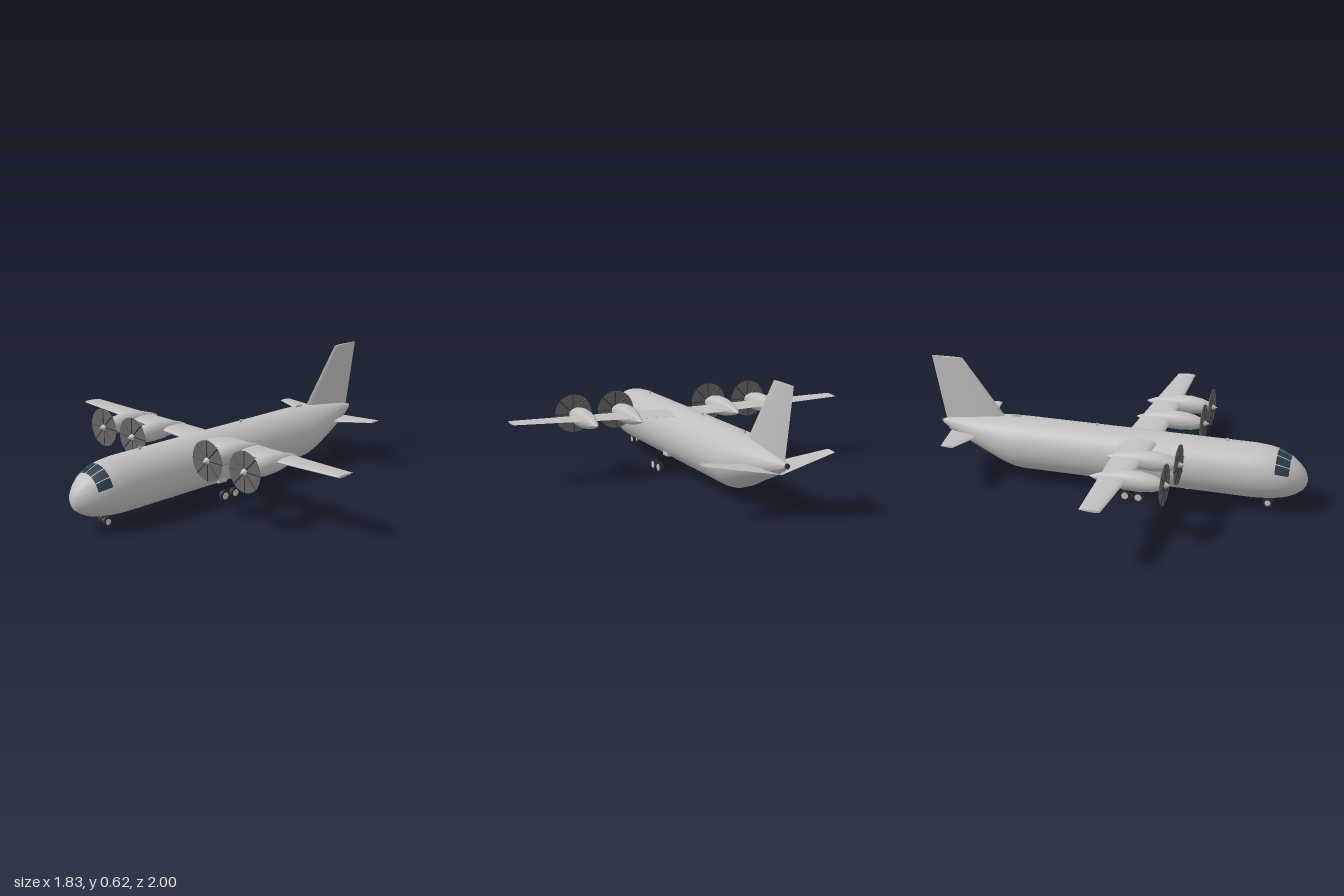
import * as THREE from 'three';
import { toCreasedNormals } from 'three/addons/utils/BufferGeometryUtils.js';

const mat = (name, color) => Object.assign(new THREE.MeshStandardMaterial({ color }), { name });

// Skin a list of equal-length rings, with closed ends, facing outwards
function loft(rings, crease = 0.7) {
  const n = rings[0].length, pos = [], idx = [];
  rings.forEach(r => r.forEach(p => pos.push(...p)));
  const at = (i, j) => i * n + (j % n);
  for (let i = 0; i < rings.length - 1; i++)
    for (let j = 0; j < n; j++)
      idx.push(at(i, j), at(i, j + 1), at(i + 1, j + 1), at(i, j), at(i + 1, j + 1), at(i + 1, j));
  [0, rings.length - 1].forEach((i, end) => {
    const c = [0, 1, 2].map(k => rings[i].reduce((s, p) => s + p[k], 0) / n);
    const ci = pos.push(...c) / 3 - 1;
    for (let j = 0; j < n; j++)
      end ? idx.push(ci, at(i, j), at(i, j + 1)) : idx.push(ci, at(i, j + 1), at(i, j));
  });
  let volume = 0;
  const v = k => new THREE.Vector3().fromArray(pos, idx[k] * 3);
  for (let k = 0; k < idx.length; k += 3) volume += v(k).dot(v(k + 1).cross(v(k + 2)));
  if (volume < 0) idx.reverse();
  const g = new THREE.BufferGeometry();
  g.setAttribute('position', new THREE.Float32BufferAttribute(pos, 3));
  g.setIndex(idx);
  return toCreasedNormals(g, crease);
}

// Station = [z, top, bottom, halfWidth]
const onHull = ([z, top, bottom, hw], a, out = 0) =>
  [(hw + out) * Math.cos(a), (top + bottom) / 2 + ((top - bottom) / 2 + out) * Math.sin(a), z];
const hullRing = (s, n) => Array.from({ length: n }, (_, j) => onHull(s, j / n * Math.PI * 2));

// Airfoil ring running back along -z from the leading edge
function foil(x, y, zLead, zTrail, thick, upright = false) {
  const xs = [0, 0.03, 0.12, 0.3, 0.55, 0.8, 1];
  const half = t => 5 * thick * (0.2969 * Math.sqrt(t) - 0.126 * t - 0.3516 * t * t + 0.2843 * t ** 3 - 0.1015 * t ** 4);
  const pts = [...xs.map(t => [t, half(t)]), ...xs.slice(1).reverse().map(t => [t, -half(t)])];
  return pts.map(([t, h]) => {
    const z = zLead + (zTrail - zLead) * t;
    return upright ? [x + h, y, z] : [x, y + h, z];
  });
}

const HULL = [
  [1, 0.167, 0.161, 0.003], [0.993, 0.196, 0.137, 0.026], [0.98, 0.222, 0.115, 0.045],
  [0.95, 0.253, 0.093, 0.073], [0.915, 0.281, 0.076, 0.096], [0.88, 0.299, 0.066, 0.111],
  [0.848, 0.311, 0.06, 0.12], [0.8, 0.32, 0.054, 0.129], [0.73, 0.326, 0.05, 0.135],
  [0.1, 0.327, 0.05, 0.136], [-0.48, 0.327, 0.05, 0.136], [-0.53, 0.326, 0.056, 0.134],
  [-0.6, 0.323, 0.08, 0.125], [-0.7, 0.313, 0.126, 0.103], [-0.8, 0.299, 0.168, 0.072],
  [-0.9, 0.281, 0.212, 0.033], [-0.955, 0.267, 0.247, 0.011],
];
const NACELLE = [
  [0.405, 0.308, 0.273, 0.02], [0.39, 0.318, 0.262, 0.03], [0.35, 0.333, 0.25, 0.04],
  [0.29, 0.342, 0.244, 0.047], [0.22, 0.341, 0.246, 0.046], [0.15, 0.33, 0.256, 0.036],
  [0.09, 0.312, 0.271, 0.021], [0.06, 0.3, 0.281, 0.01], [0.045, 0.293, 0.288, 0.002],
];

export function createModel() {
  const model = new THREE.Group();
  const grey = mat('hullGrey', 0xbfbfbf), glass = mat('windowGlass', 0x2b3a4a);
  const black = mat('tyreBlack', 0x2a2a2a), disc = mat('propDiscGrey', 0x666666);
  const blade = mat('bladeDark', 0x3a3a3a);
  glass.side = THREE.DoubleSide;
  const add = (parent, name, geometry, material, x = 0, y = 0, z = 0) => {
    const m = new THREE.Mesh(geometry, material);
    m.name = name;
    m.position.set(x, y, z);
    parent.add(m);
    return m;
  };

  // Fuselage
  add(model, 'fuselage', loft(HULL.map(s => hullRing(s, 48)), 1), grey);
  add(model, 'tailCap', new THREE.CylinderGeometry(0.012, 0.012, 0.012, 16).rotateX(Math.PI / 2), blade, 0, 0.257, -0.955);

  // Cockpit windows: six thin panes wrapped over the nose
  const rows = HULL.slice(4, 7), cols = 6, deg = Math.PI / 180;
  for (let w = 0; w < 6; w++) {
    const pos = [], idx = [];
    rows.forEach(s => {
      for (let j = 0; j <= cols; j++) pos.push(...onHull(s, (18 + w * 24 + 1.2 + 21.6 * j / cols) * deg, 0.002));
    });
    for (let i = 0; i < rows.length - 1; i++)
      for (let j = 0; j < cols; j++) {
        const a = i * (cols + 1) + j, b = a + cols + 1;
        idx.push(a, a + 1, b + 1, a, b + 1, b);
      }
    const g = new THREE.BufferGeometry();
    g.setAttribute('position', new THREE.Float32BufferAttribute(pos, 3));
    g.setIndex(idx.reverse());
    g.computeVertexNormals();
    // Keep the pane normals pointing away from the hull
    if (g.attributes.normal.getY(cols + 4) < 0) { g.setIndex(idx.reverse()); g.computeVertexNormals(); }
    add(model, 'cockpitWindow', g, glass);
  }

  // Tail fin
  add(model, 'tailFin', loft([
    foil(0, 0.21, -0.6, -0.922, 0.036, true), foil(0, 0.325, -0.6, -0.944, 0.034, true),
    foil(0, 0.62, -0.825, -1, 0.014, true)]), grey);

  // Aerials above and below the fuselage
  const aerial = (y, z, h, len) => add(model, 'aerial', new THREE.BoxGeometry(0.006, h, len), grey, 0, y, z);
  aerial(0.332, 0.59, 0.018, 0.014);
  aerial(0.332, -0.09, 0.018, 0.014);
  aerial(0.328, -0.535, 0.016, 0.045);
  aerial(0.045, 0.39, 0.02, 0.014);

  // Wheel with a pale hub
  const wheel = (name, x, y, z, r, w) => {
    const g = new THREE.Group();
    g.name = name;
    g.position.set(x, y, z);
    add(g, 'tyre', new THREE.CylinderGeometry(r, r, w, 24).rotateZ(Math.PI / 2), black);
    add(g, 'hub', new THREE.CylinderGeometry(r * 0.62, r * 0.62, w + 0.003, 20).rotateZ(Math.PI / 2), grey);
    model.add(g);
  };

  // Engine with spinner, propeller disc and eight blades
  const engine = (x, dz) => {
    const g = new THREE.Group();
    g.name = 'engine';
    g.position.set(x, 0, dz);
    add(g, 'nacelle', loft(NACELLE.map(s => hullRing(s, 24)), 1), grey);
    const prop = new THREE.Group();
    prop.name = 'propeller';
    prop.position.set(0, 0.291, 0.408);
    add(prop, 'spinner', new THREE.ConeGeometry(0.02, 0.034, 20).rotateX(Math.PI / 2), grey, 0, 0, 0.014);
    add(prop, 'propDisc', new THREE.CylinderGeometry(0.1, 0.1, 0.002, 40).rotateX(Math.PI / 2), disc);
    for (let i = 0; i < 8; i++) {
      const arm = new THREE.Group();
      arm.name = 'bladeArm';
      arm.rotation.z = i * Math.PI / 4;
      add(arm, 'blade', new THREE.BoxGeometry(0.011, 0.088, 0.003), blade, 0, 0.056, 0).rotation.y = 0.6;
      prop.add(arm);
    }
    g.add(prop);
    model.add(g);
  };

  for (const s of [1, -1]) {
    // Wing and tailplane
    add(model, s > 0 ? 'leftWing' : 'rightWing', loft([
      foil(0, 0.295, 0.25, 0.062, 0.031), foil(s * 0.12, 0.298, 0.245, 0.067, 0.029),
      foil(s * 0.917, 0.317, 0.215, 0.115, 0.012)]), grey);
    add(model, s > 0 ? 'leftTailplane' : 'rightTailplane', loft([
      foil(0, 0.208, -0.715, -0.91, 0.02), foil(s * 0.33, 0.258, -0.75, -0.82, 0.009)]), grey);

    engine(s * 0.275, 0);
    engine(s * 0.515, -0.008);

    // Landing gear
    wheel('noseWheel', s * 0.015, 0.024, 0.81, 0.024, 0.016);
    for (const z of [0.175, 0.105]) wheel('mainWheel', s * 0.151, 0.029, z, 0.029, 0.018);
    add(model, 'bogieBeam', new THREE.BoxGeometry(0.008, 0.01, 0.07), blade, s * 0.151, 0.029, 0.14);
    add(model, 'gearFairing', new THREE.BoxGeometry(0.03, 0.022, 0.055), grey, s * 0.09, 0.089, 0.14);
  }
  return model;
}
